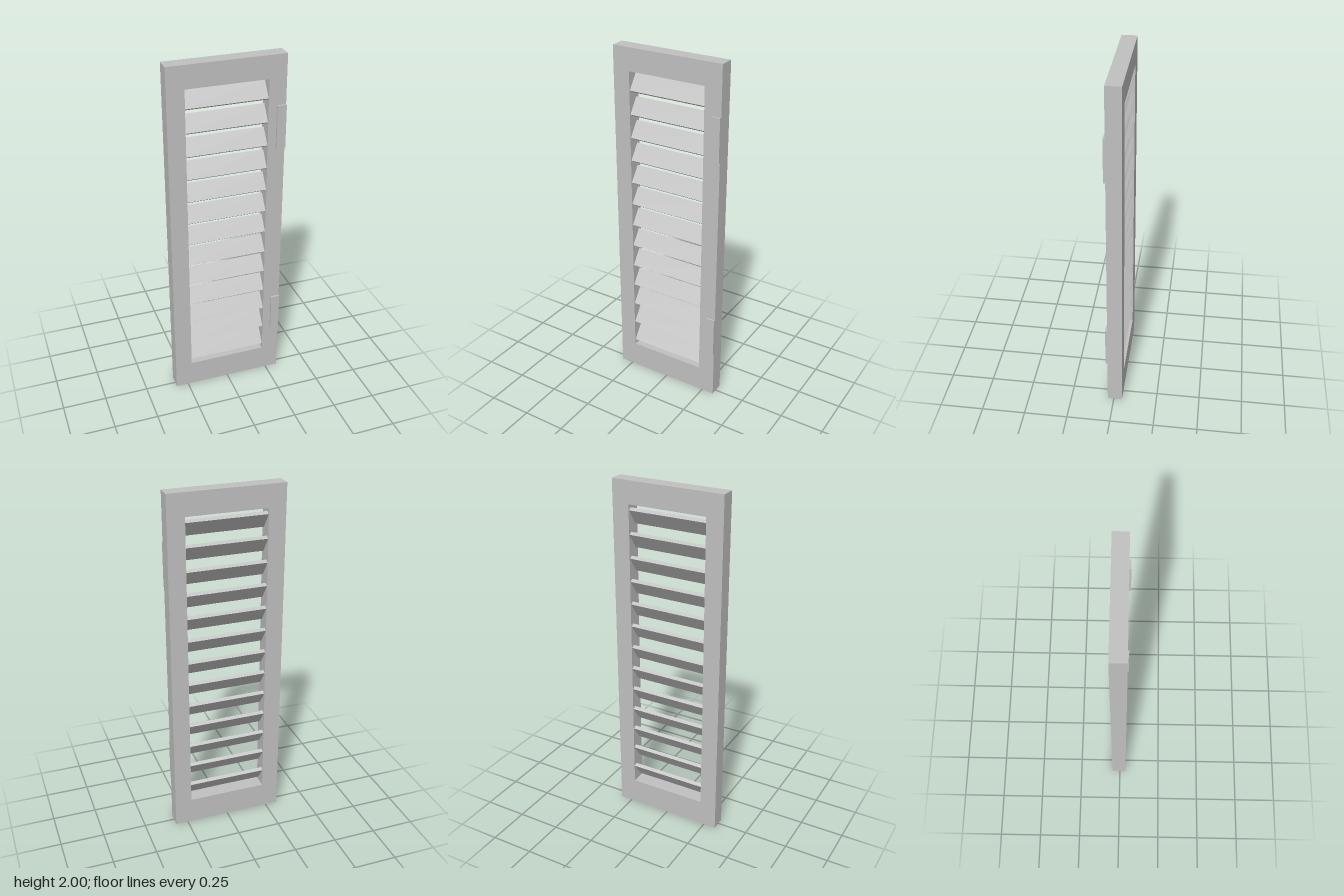
import * as THREE from 'three';

const HALF_W = 0.322, HEIGHT = 2, BACK = -0.048, FRONT = 0.036;
const OPEN_W = 0.225, OPEN_BOTTOM = 0.152, OPEN_TOP = 1.874;
const SLATS = 13, FIRST_Y = 0.219, LAST_Y = 1.805;

function rectangle(target, x, y0, y1) {
  target.moveTo(-x, y0);
  target.lineTo(x, y0);
  target.lineTo(x, y1);
  target.lineTo(-x, y1);
  target.closePath();
  return target;
}

export function createModel() {
  const group = new THREE.Group();
  group.name = 'louvredShutter';
  const grey = new THREE.MeshStandardMaterial({ color: 0xc0c0c0 });
  grey.name = 'light grey';

  const add = (name, geometry, x, y, z) => {
    const mesh = new THREE.Mesh(geometry, grey);
    mesh.name = name;
    mesh.position.set(x, y, z);
    group.add(mesh);
    return mesh;
  };

  // Outer frame with one tall opening
  const outline = rectangle(new THREE.Shape(), HALF_W, 0, HEIGHT);
  outline.holes.push(rectangle(new THREE.Path(), OPEN_W, OPEN_BOTTOM, OPEN_TOP));
  const frame = new THREE.ExtrudeGeometry(outline, { depth: FRONT - BACK, bevelEnabled: false });
  add('frame', frame, 0, 0, BACK);

  // Tilted slats, low at the front and high at the back
  const slat = new THREE.BoxGeometry(OPEN_W * 2, 0.021, 0.104);
  for (let i = 0; i < SLATS; i++) {
    const y = THREE.MathUtils.lerp(FIRST_Y, LAST_Y, i / (SLATS - 1));
    add('slat', slat, 0, y, -0.006).rotation.x = THREE.MathUtils.degToRad(55);
  }

  // Hinge plates on the front of one stile
  const plate = new THREE.BoxGeometry(0.051, 0.245, 0.012);
  for (const y of [0.4, 1.604]) add('hingePlate', plate, HALF_W - 0.0255, y, FRONT + 0.005);

  return group;
}
